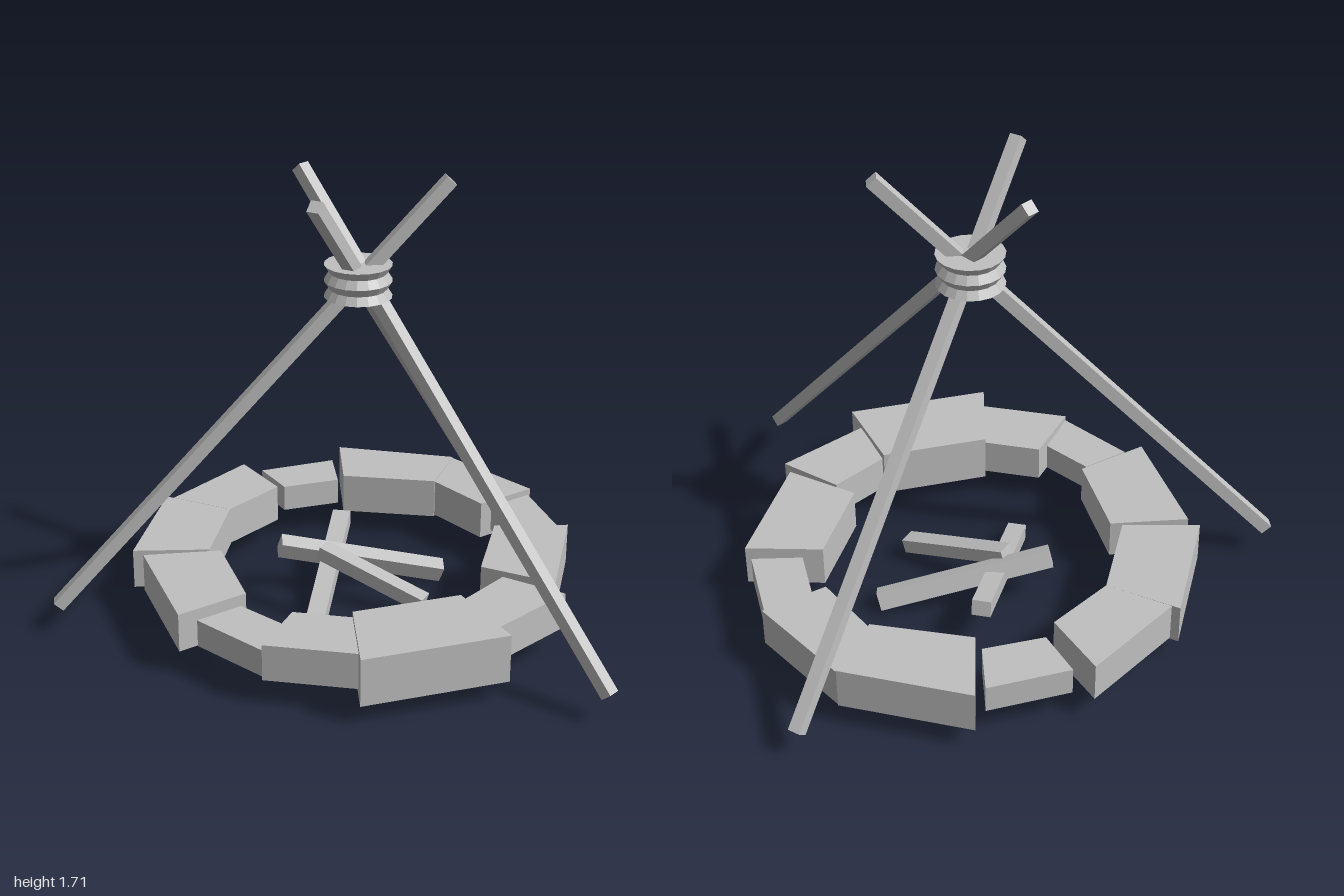
import * as THREE from 'three';

const stoneGrey = new THREE.MeshStandardMaterial({ color: 0xc0c0c0, flatShading: true });
stoneGrey.name = 'plain grey';

function addMesh(parent, name, geometry) {
  const mesh = new THREE.Mesh(geometry, stoneGrey);
  mesh.name = name;
  parent.add(mesh);
  return mesh;
}

// Square beam between two end centres, optionally rolled about its length
function beam(parent, name, from, to, width, height, roll = 0) {
  const a = new THREE.Vector3(...from), b = new THREE.Vector3(...to);
  const geometry = new THREE.BoxGeometry(width, height, a.distanceTo(b)).rotateZ(roll);
  const mesh = addMesh(parent, name, geometry);
  mesh.position.copy(a).add(b).multiplyScalar(0.5);
  mesh.lookAt(b);
}

// Four-cornered block: plan corners [x, z], from bottom to top
function stone(parent, name, corners, bottom, top) {
  const shape = new THREE.Shape(corners.map(([x, z]) => new THREE.Vector2(x, -z)));
  const geometry = new THREE.ExtrudeGeometry(shape, { depth: top - bottom, bevelEnabled: false });
  geometry.rotateX(-Math.PI / 2).translate(0, bottom, 0);
  addMesh(parent, name, geometry);
}

export function createModel() {
  const model = new THREE.Group();
  model.name = 'campfire';

  // Ring of uneven stones
  const ring = new THREE.Group();
  ring.name = 'stoneRing';
  model.add(ring);
  const stones = [
    [[[-0.07, -0.94], [0.005, -0.69], [-0.23, -0.55], [-0.42, -0.715]], 0.1, 0.25],
    [[[-0.445, -0.735], [-0.23, -0.55], [-0.39, -0.24], [-0.67, -0.315]], 0.095, 0.25],
    [[[-0.64, -0.27], [-0.35, -0.22], [-0.345, 0.13], [-0.615, 0.21]], 0.1, 0.25],
    [[[-0.55, 0.225], [-0.375, 0.17], [-0.265, 0.34], [-0.385, 0.49]], 0.12, 0.225],
    [[[-0.22, 0.3], [-0.025, 0.4], [-0.08, 0.645], [-0.385, 0.49]], 0.105, 0.245],
    [[[-0.025, 0.395], [0.385, 0.395], [0.45, 0.715], [-0.1, 0.715]], 0.08, 0.265],
    [[[0.595, 0.28], [0.765, 0.465], [0.43, 0.625], [0.39, 0.4]], 0.105, 0.245],
    [[[0.715, -0.1], [0.99, -0.02], [0.755, 0.395], [0.54, 0.2]], 0.095, 0.255],
    [[[0.79, -0.33], [0.97, -0.37], [0.973, -0.05], [0.79, -0.09]], 0.12, 0.225],
    [[[0.785, -0.74], [0.98, -0.37], [0.74, -0.3], [0.63, -0.555]], 0.1, 0.25],
    [[[0.36, -0.975], [0.785, -0.74], [0.63, -0.54], [0.29, -0.7]], 0.095, 0.255],
    [[[0, -0.91], [0.31, -0.92], [0.275, -0.73], [0.045, -0.73]], 0.12, 0.225],
  ];
  stones.forEach(([corners, bottom, top], i) => stone(ring, `stone${i + 1}`, corners, bottom, top));

  // Tripod poles crossing at the lashing
  const tripod = new THREE.Group();
  tripod.name = 'tripod';
  model.add(tripod);
  beam(tripod, 'rightPole', [-0.975, 0.115, -0.23], [0.455, 1.695, 0], 0.046, 0.046);
  beam(tripod, 'frontPole', [0.72, 0.115, 0.95], [0, 1.695, -0.32], 0.046, 0.046);
  beam(tripod, 'backPole', [0.945, 0.115, -0.85], [-0.095, 1.695, 0.175], 0.046, 0.046);

  // Ridged rope lashing
  const profile = [[0, 1.28], [0.123, 1.28], [0.104, 1.31], [0.123, 1.34], [0.104, 1.37], [0.123, 1.4], [0, 1.4]];
  const rope = new THREE.LatheGeometry(profile.map(([r, y]) => new THREE.Vector2(r, y)), 18);
  addMesh(tripod, 'ropeLashing', rope.translate(0.135, 0, -0.055));

  // Leaning firewood in the middle
  const wood = new THREE.Group();
  wood.name = 'firewood';
  model.add(wood);
  beam(wood, 'longLog', [-0.07, 0.038, 0.08], [0.215, 0.185, -0.485], 0.07, 0.06);
  beam(wood, 'crossLog', [-0.1, 0.2, -0.285], [0.53, 0.045, -0.185], 0.06, 0.07, 0.35);
  beam(wood, 'shortLog', [0.36, 0.07, 0.085], [0.05, 0.19, -0.22], 0.065, 0.055);

  return model;
}
